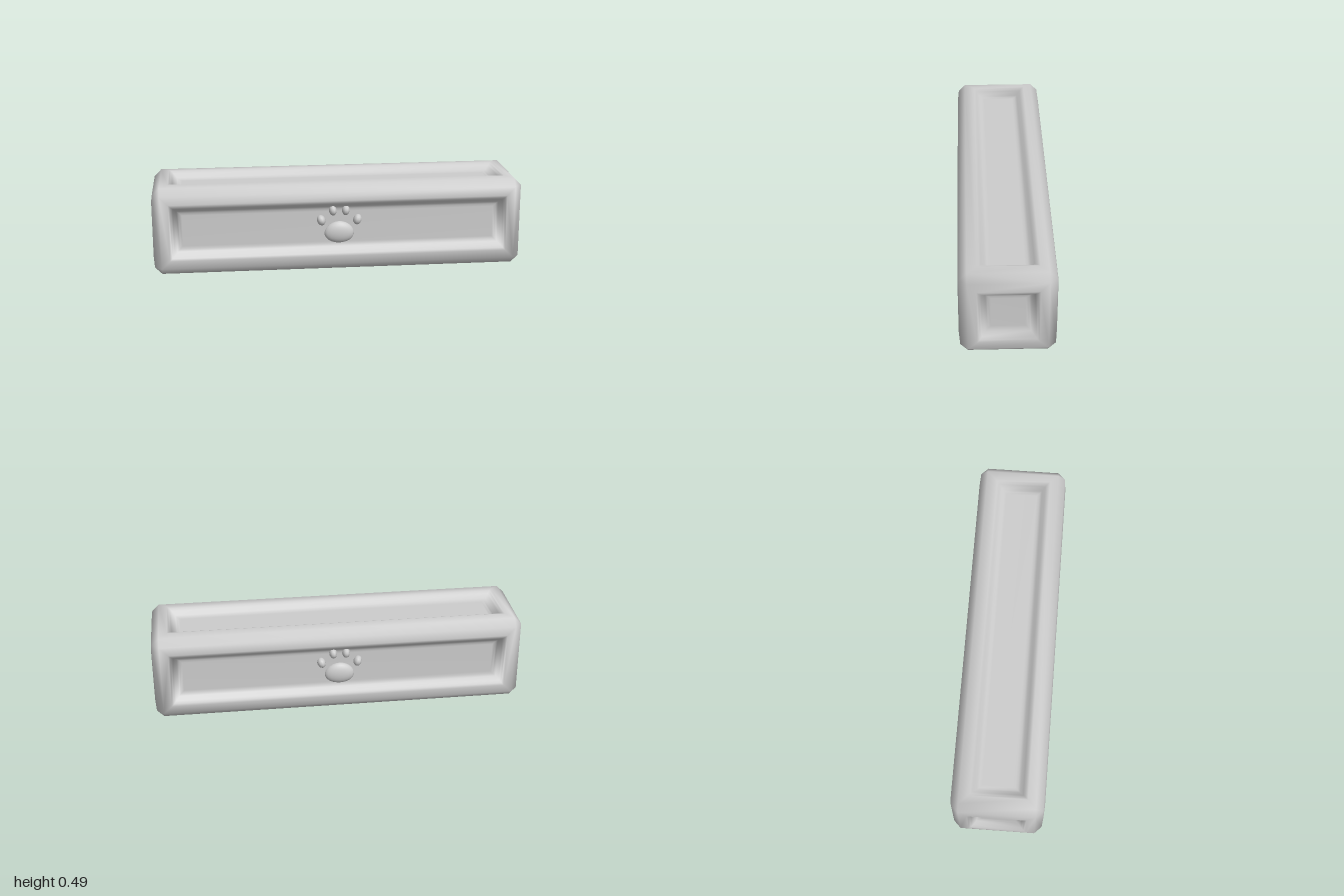
import * as THREE from 'three';
import { mergeVertices } from 'three/addons/utils/BufferGeometryUtils.js';

const HALF = [1, 0.245, 0.245];
// Face profile from the outer edge inward: [inset, depth]
const PROFILE = [[0.045, 0.007], [0.09, 0], [0.103, 0.005], [0.115, 0.016], [0.132, 0.036], [0.145, 0.043], [0.16, 0.045]];
const CORNERS = [[-1, -1], [1, -1], [1, 1], [-1, 1]];

function barGeometry() {
  const positions = [];
  // Adds a triangle, turned so that it faces the given direction
  const tri = (a, b, c, out) => {
    const n = b.clone().sub(a).cross(c.clone().sub(a));
    const order = n.dot(out) >= 0 ? [a, b, c] : [a, c, b];
    for (const p of order) positions.push(p.x, p.y, p.z);
  };
  const quad = (a, b, c, d, out) => { tri(a, b, c, out); tri(a, c, d, out); };
  const point = (axis, signs, [inset, depth]) => new THREE.Vector3(
    ...HALF.map((h, k) => signs[k] * (h - (k === axis ? depth : inset))));

  for (let axis = 0; axis < 3; axis++) {
    const u = (axis + 1) % 3, v = (axis + 2) % 3;
    const signsOf = (s, [a, b]) => {
      const r = [0, 0, 0];
      r[axis] = s; r[u] = a; r[v] = b;
      return r;
    };
    // Panel faces: rim, sloped sides and sunken floor
    for (const s of [-1, 1]) {
      const out = new THREE.Vector3().setComponent(axis, s);
      const rings = PROFILE.map(p => CORNERS.map(c => point(axis, signsOf(s, c), p)));
      for (let i = 0; i + 1 < rings.length; i++)
        for (let k = 0; k < 4; k++) {
          const n = (k + 1) % 4;
          quad(rings[i][k], rings[i][n], rings[i + 1][n], rings[i + 1][k], out);
        }
      quad(...rings[rings.length - 1], out);
    }
    // Chamfers along the four edges parallel to this axis
    for (const c of CORNERS) {
      const lo = signsOf(-1, c), hi = signsOf(1, c);
      const out = new THREE.Vector3().setComponent(u, c[0]).setComponent(v, c[1]);
      quad(point(u, lo, PROFILE[0]), point(u, hi, PROFILE[0]), point(v, hi, PROFILE[0]), point(v, lo, PROFILE[0]), out);
    }
  }
  // Corner triangles
  for (const x of [-1, 1]) for (const [y, z] of CORNERS) {
    const s = [x, y, z];
    tri(point(0, s, PROFILE[0]), point(1, s, PROFILE[0]), point(2, s, PROFILE[0]), new THREE.Vector3(...s));
  }
  const g = new THREE.BufferGeometry();
  g.setAttribute('position', new THREE.Float32BufferAttribute(positions, 3));
  const merged = mergeVertices(g, 1e-5);
  merged.computeVertexNormals();
  return merged;
}

// Main pad: a flattened blob, wider towards the bottom
function padGeometry() {
  const g = new THREE.SphereGeometry(1, 20, 12);
  const p = g.attributes.position;
  for (let i = 0; i < p.count; i++) {
    const y = p.getY(i);
    p.setXYZ(i, p.getX(i) * 0.08 * (1 - 0.1 * y), y * 0.06, p.getZ(i) * 0.032);
  }
  g.computeVertexNormals();
  return g;
}

export function createModel() {
  const grey = new THREE.MeshStandardMaterial({ color: 0xcccccc });
  grey.name = 'light grey';
  const model = new THREE.Group();
  model.name = 'panelledBar';

  const add = (parent, name, geometry, x, y, z) => {
    const m = new THREE.Mesh(geometry, grey);
    m.name = name;
    m.position.set(x, y, z);
    parent.add(m);
    return m;
  };
  add(model, 'bar', barGeometry(), 0, HALF[1], 0);

  // Raised paw on the front and back panels
  const pad = padGeometry();
  const toe = new THREE.SphereGeometry(1, 10, 7);
  for (const side of ['front', 'back']) {
    const paw = new THREE.Group();
    paw.name = side + 'Paw';
    add(paw, 'pad', pad, 0, 0.213, 0.202);
    for (const s of [-1, 1]) {
      const outer = add(paw, 'outerToe', toe, s * 0.098, 0.282, 0.204);
      outer.scale.set(0.023, 0.029, 0.032);
      outer.rotation.z = -s * 0.3;
      const inner = add(paw, 'innerToe', toe, s * 0.035, 0.335, 0.204);
      inner.scale.set(0.021, 0.028, 0.032);
      inner.rotation.z = -s * 0.1;
    }
    if (side === 'back') paw.rotation.y = Math.PI;
    model.add(paw);
  }
  return model;
}
